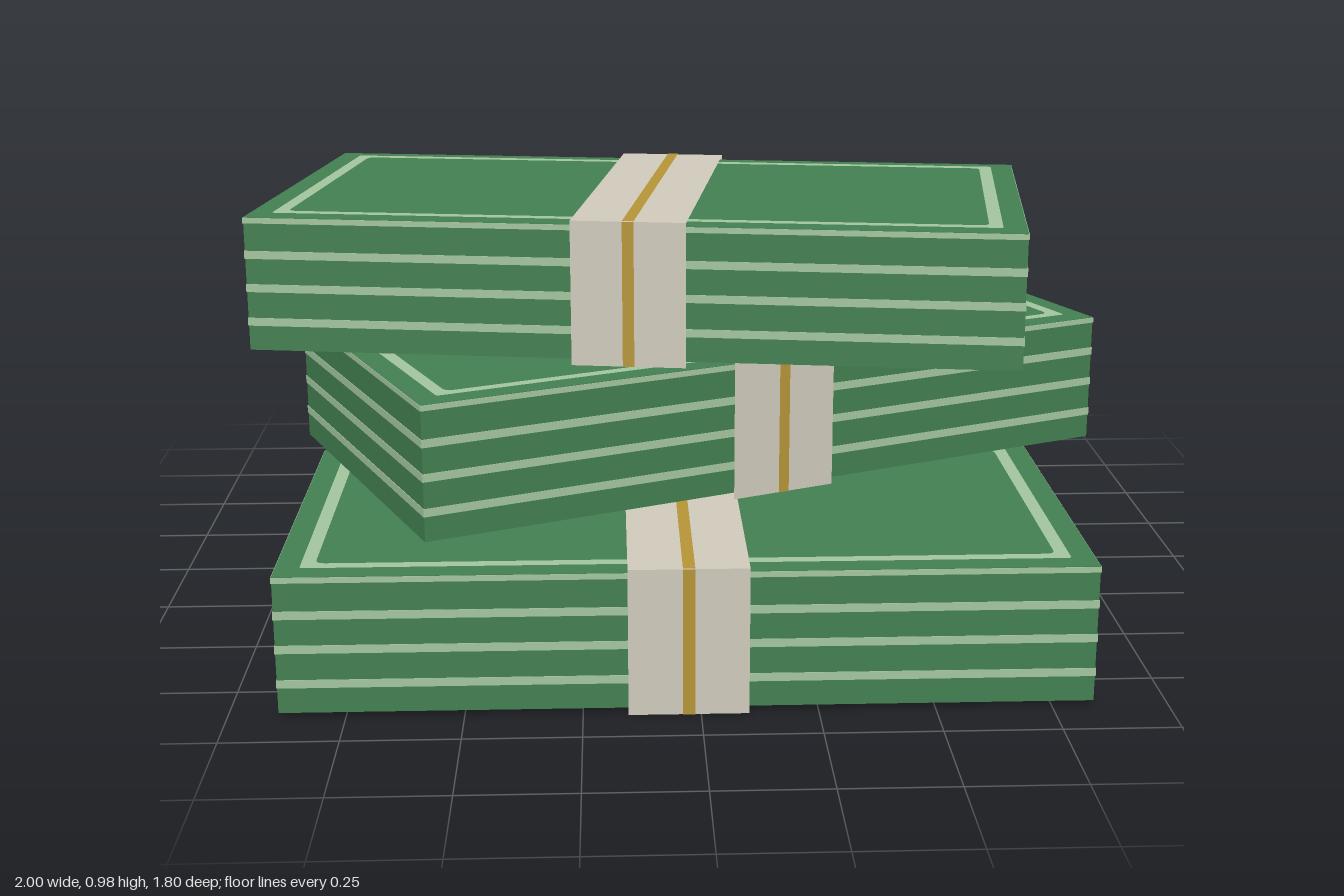
import * as THREE from 'three';

const L = 1.73, W = 0.867, H = 0.305;          // bundle of notes
const BAND_W = 0.256, BAND_D = 0.89, BAND_H = 0.327, GOLD_W = 0.026;
const LIFT = 0.012;                            // gap between band foot and notes
// Printed stripes as fractions of a face: [start, end]
const STRIPES = [[0.004, 0.045], [0.25, 0.31], [0.5, 0.56], [0.755, 0.815]];

function material(name, color, side = THREE.FrontSide) {
  const m = new THREE.MeshStandardMaterial({ color, side });
  m.name = name;
  return m;
}

function rectangle(path, x, y, r) {
  path.moveTo(-x + r, -y);
  path.lineTo(x - r, -y);
  path.quadraticCurveTo(x, -y, x, -y + r);
  path.lineTo(x, y - r);
  path.quadraticCurveTo(x, y, x - r, y);
  path.lineTo(-x + r, y);
  path.quadraticCurveTo(-x, y, -x, y - r);
  path.lineTo(-x, -y + r);
  path.quadraticCurveTo(-x, -y, -x + r, -y);
  return path;
}

export function createModel() {
  const green = material('note green', 0x427f50);
  const pale = material('pale green print', 0xa2c49d);
  const paper = material('paper band', 0xcfc9bb, THREE.DoubleSide);
  const gold = material('gold line', 0xb59438, THREE.DoubleSide);

  const add = (group, name, geometry, mat, x = 0, y = 0, z = 0) => {
    const mesh = new THREE.Mesh(geometry, mat);
    mesh.name = name;
    mesh.position.set(x, y, z);
    group.add(mesh);
    return mesh;
  };

  // Frame printed on the top note
  const frame = rectangle(new THREE.Shape(), L / 2 - 0.052, W / 2 - 0.046, 0.008);
  frame.holes.push(rectangle(new THREE.Path(), L / 2 - 0.082, W / 2 - 0.073, 0.02));
  const frameGeo = new THREE.ShapeGeometry(frame, 4).rotateX(-Math.PI / 2);

  function createBundle(name, x, y, z, degrees) {
    const bundle = new THREE.Group();
    bundle.name = name;
    const top = LIFT + H;
    add(bundle, 'notes', new THREE.BoxGeometry(L, H, W), green, 0, LIFT + H / 2, 0);
    add(bundle, 'topFrame', frameGeo, pale, 0, top + 0.002, 0);

    for (const [a, b] of STRIPES) {
      const mid = (a + b) / 2, size = b - a;
      // Stripe round the four sides, barely proud of the notes
      add(bundle, 'sideStripe', new THREE.BoxGeometry(L + 0.003, size * H, W + 0.003),
        pale, 0, top - mid * H, 0);
      // Stripe along the underside
      add(bundle, 'undersideStripe', new THREE.PlaneGeometry(L, size * W).rotateX(Math.PI / 2),
        pale, 0, LIFT - 0.0015, W / 2 - mid * W);
    }

    // Open paper band: front, back and top panels with a centred line
    const panels = [[BAND_W, paper, 'band', 0], [GOLD_W, gold, 'bandLine', 0.0015]];
    for (const [width, mat, part, out] of panels) {
      const side = new THREE.PlaneGeometry(width, BAND_H);
      add(bundle, part + 'Front', side, mat, 0, BAND_H / 2, BAND_D / 2 + out);
      add(bundle, part + 'Back', side, mat, 0, BAND_H / 2, -BAND_D / 2 - out).rotation.y = Math.PI;
      add(bundle, part + 'Top', new THREE.PlaneGeometry(width, BAND_D).rotateX(-Math.PI / 2),
        mat, 0, BAND_H + out, 0);
    }

    bundle.position.set(x, y, z);
    bundle.rotation.y = THREE.MathUtils.degToRad(degrees);
    return bundle;
  }

  const model = new THREE.Group();
  model.name = 'banknoteStack';
  model.add(
    createBundle('lowerFrontBundle', -0.026, 0, 0.452, 0),
    createBundle('lowerBackBundle', -0.026, 0, -0.456, 0),
    createBundle('middleBundle', 0.03, 0.327, 0, 24),
    createBundle('topBundle', -0.081, 0.653, 0.053, -8.2)
  );
  return model;
}
